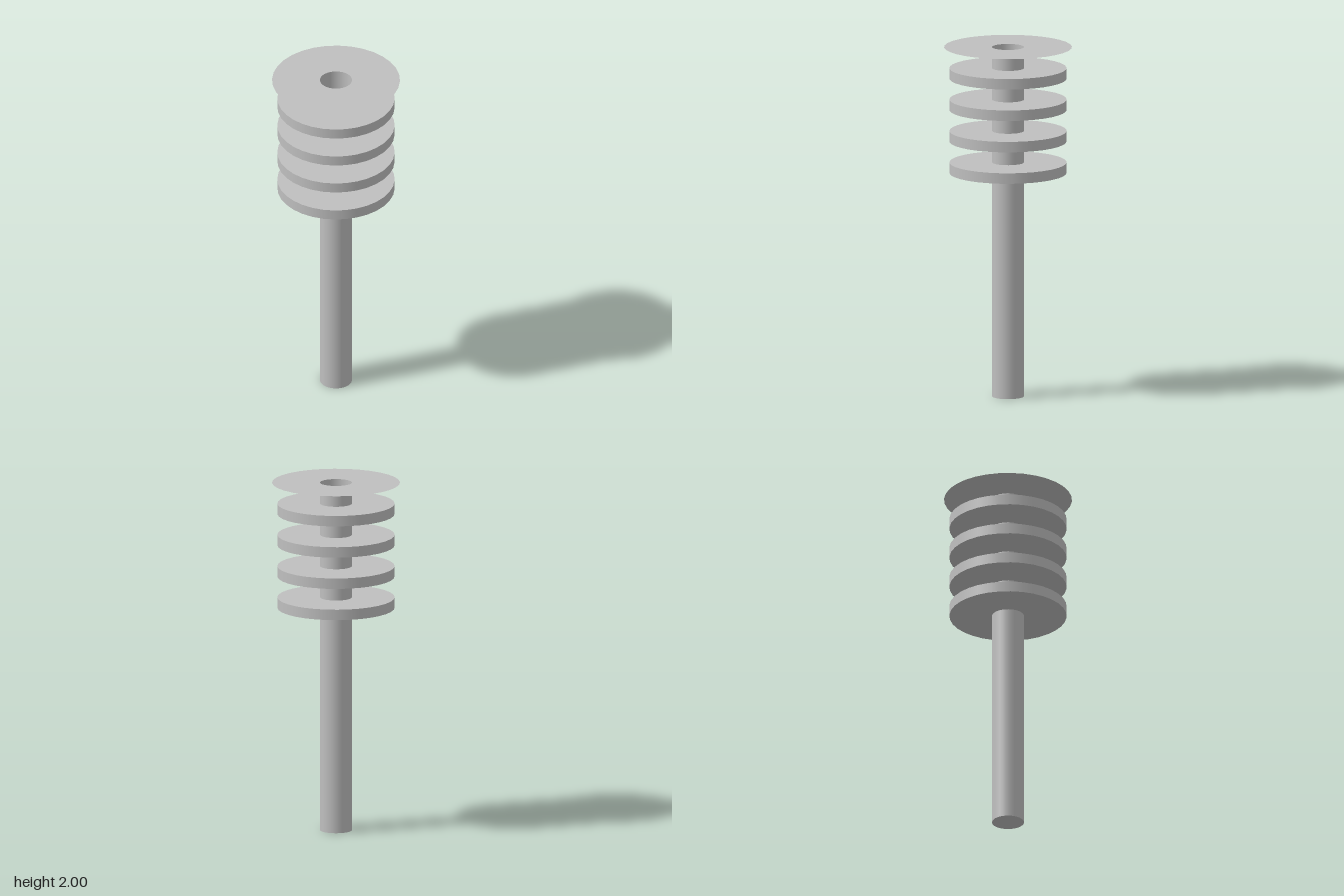
import * as THREE from 'three';
import { mergeGeometries } from 'three/addons/utils/BufferGeometryUtils.js';

const SIDES = 32;
const POLE_R = 0.09, FIN_R = 0.33, CAP_R = 0.36;
const HEIGHT = 2, FIN_T = 0.06, FIN_START = 1.28, FIN_STEP = 0.18;

// Turned surface: one lathe per profile segment keeps the rims crisp
function turned(profile) {
  const points = profile.map(([r, y]) => new THREE.Vector2(r, y));
  const bands = points.slice(1).map((p, i) => new THREE.LatheGeometry([points[i], p], SIDES));
  return mergeGeometries(bands);
}

export function createModel() {
  const model = new THREE.Group();
  model.name = 'finnedPole';
  const grey = new THREE.MeshStandardMaterial({ color: 0xbfbfbf, side: THREE.DoubleSide });
  grey.name = 'grey';

  const add = (name, profile, y = 0) => {
    const mesh = new THREE.Mesh(turned(profile), grey);
    mesh.name = name;
    mesh.position.y = y;
    model.add(mesh);
  };

  // Hollow pole, closed at the foot and open at the top
  add('pole', [[0, 0], [POLE_R, 0], [POLE_R, HEIGHT]]);

  // Four evenly spaced fins around the pole
  for (let i = 0; i < 4; i++) {
    add(`fin${i + 1}`, [[POLE_R, 0], [FIN_R, 0], [FIN_R, FIN_T], [POLE_R, FIN_T]],
      FIN_START + i * FIN_STEP);
  }

  // Paper-thin flange around the open top
  add('topFlange', [[CAP_R, HEIGHT], [POLE_R, HEIGHT]]);

  return model;
}
